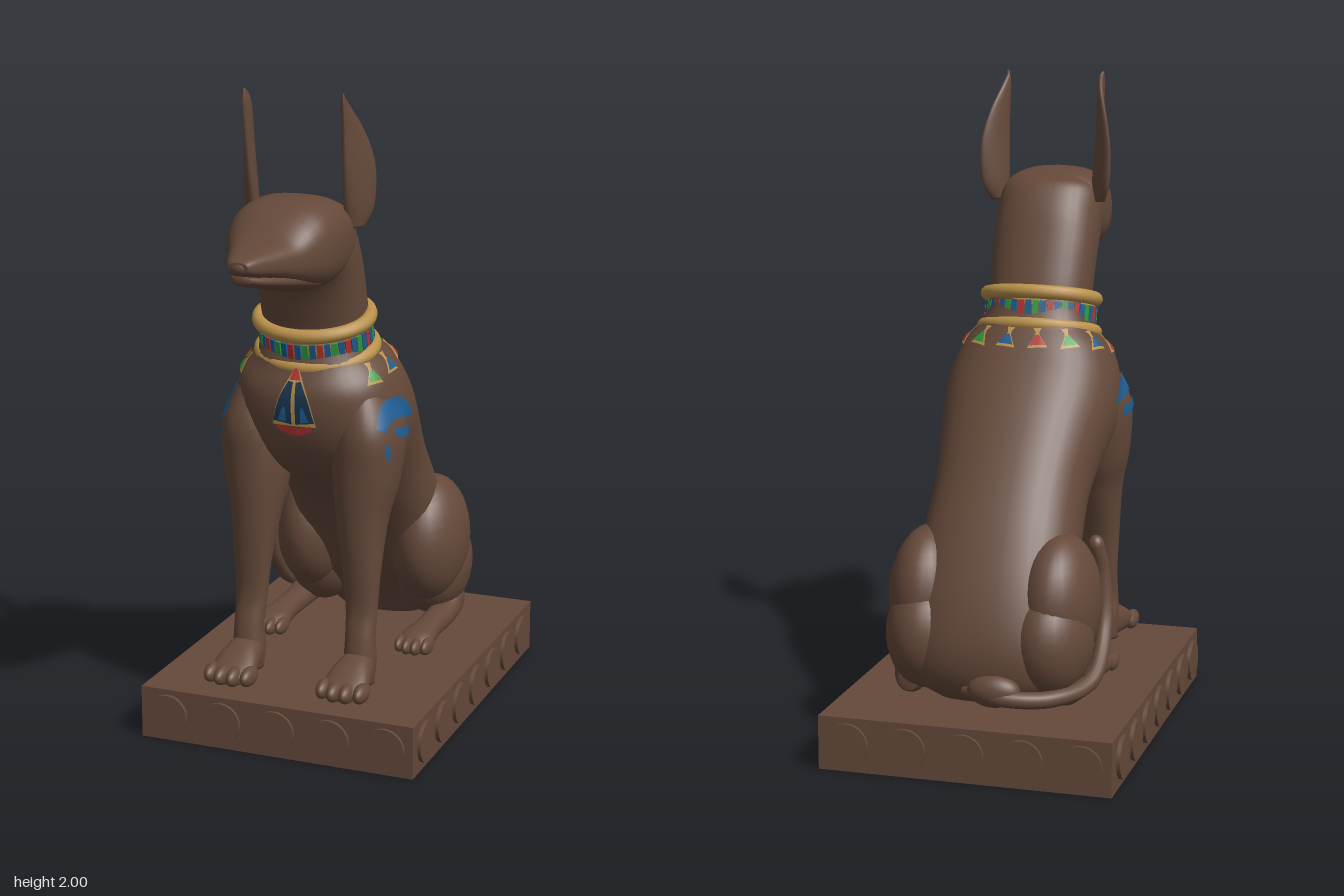
import * as THREE from 'three';

const mat = (name, color) => new THREE.MeshStandardMaterial({ name, color, side: THREE.DoubleSide });
const V = (x, y, z) => new THREE.Vector3(x, y, z);

// Smooth loft. Row: [x, yFront, zFront, yBack, zBack, halfWidth]; n is the roundness of the section.
function loft(rows, n = 2.2, steps = 6, sides = 36) {
  const pos = [], idx = [], last = rows.length - 1, rings = last * steps + 1;
  const centre = (r) => [r[0], (r[1] + r[3]) / 2, (r[2] + r[4]) / 2];
  const pw = (v) => Math.sign(v) * Math.pow(Math.abs(v), 2 / n);
  for (let i = 0; i < rings; i++) {
    const k = Math.min(Math.floor(i / steps), last - 1), t = i / steps - k;
    const p = [k - 1, k, k + 1, k + 2].map((j) => rows[Math.max(0, Math.min(last, j))]);
    const r = p[1].map((b, c) => {
      const a = p[0][c], d = p[2][c], e = p[3][c];
      return b + 0.5 * t * (d - a + t * (2 * a - 5 * b + 4 * d - e + t * (3 * (b - d) + e - a)));
    });
    const [cx, cy, cz] = centre(r), dy = (r[1] - r[3]) / 2, dz = (r[2] - r[4]) / 2;
    for (let j = 0; j < sides; j++) {
      const a = (j / sides) * Math.PI * 2, c = pw(Math.cos(a)), s = pw(Math.sin(a));
      pos.push(cx + r[5] * s, cy + dy * c, cz + dz * c);
    }
  }
  const ends = rings * sides;
  pos.push(...centre(rows[0]), ...centre(rows[last]));
  for (let j = 0; j < sides; j++) {
    const m = (j + 1) % sides, top = (rings - 1) * sides;
    for (let i = 0; i < rings - 1; i++) {
      const a = i * sides + j, b = i * sides + m;
      idx.push(a, b, a + sides, b, b + sides, a + sides);
    }
    idx.push(ends, m, j, ends + 1, top + j, top + m);
  }
  const g = new THREE.BufferGeometry();
  g.setAttribute('position', new THREE.Float32BufferAttribute(pos, 3));
  g.setIndex(idx);
  g.computeVertexNormals();
  return g;
}

// Thin painted ribbon laid on the targets. Path points: [u, v, halfWidth].
function ribbon(targets, path, origin, U, W, out, lift) {
  const curve = new THREE.CatmullRomCurve3(path.map((p) => V(...p)));
  const ray = new THREE.Raycaster(), N = 14, M = 6, pos = [], idx = [];
  let depth = 0;
  for (let i = 0; i <= N; i++) {
    const p = curve.getPoint(i / N), t = curve.getTangent(i / N);
    const len = Math.hypot(t.x, t.y) || 1;
    for (let j = 0; j <= M; j++) {
      const k = ((j / M) * 2 - 1) * p.z;
      const q = origin.clone().addScaledVector(U, p.x - (t.y / len) * k).addScaledVector(W, p.y + (t.x / len) * k);
      ray.set(q.clone().add(out), out.clone().negate());
      const hit = ray.intersectObjects(targets, false)[0];
      if (hit) depth = 1 - hit.distance;
      q.addScaledVector(out, depth + lift);
      pos.push(q.x, q.y, q.z);
      if (i < N && j < M) {
        const a = i * (M + 1) + j, b = a + M + 1;
        idx.push(a, b, a + 1, b, b + 1, a + 1);
      }
    }
  }
  const g = new THREE.BufferGeometry();
  g.setAttribute('position', new THREE.Float32BufferAttribute(pos, 3));
  g.setIndex(idx);
  g.computeVertexNormals();
  return g;
}

export function createModel() {
  const root = new THREE.Group();
  const brown = mat('brown stone', 0x65493a), gold = mat('gold', 0xb8904a);
  const blue = mat('blue paint', 0x1f5c90), navy = mat('dark blue paint', 0x1b3550);
  const green = mat('green enamel', 0x2f9a3c), red = mat('red enamel', 0xb23432);
  const add = (name, geo, m = brown, parent = root) => {
    const o = new THREE.Mesh(geo, m);
    o.name = name;
    parent.add(o);
    return o;
  };
  const ball = (name, x, y, z, rx, ry, rz, parent) => {
    const o = add(name, new THREE.SphereGeometry(1, 28, 20), brown, parent);
    o.position.set(x, y, z);
    o.scale.set(rx, ry, rz);
    return o;
  };

  // Plinth with a row of raised discs on each side
  add('plinth', new THREE.BoxGeometry(0.89, 0.165, 1.175)).position.set(0, 0.0825, -0.1175);
  const disc = new THREE.CylinderGeometry(0.064, 0.064, 0.02, 28);
  for (const s of [-1, 1]) {
    for (let i = 0; i < 7; i++) {
      const d = add('sideDisc', disc);
      d.position.set(s * 0.447, 0.085, 0.37 - i * 0.16);
      d.rotation.z = Math.PI / 2;
    }
    for (let i = 0; i < 5; i++) {
      const d = add('endDisc', disc);
      d.position.set(-0.355 + i * 0.1775, 0.085, -0.1175 + s * 0.588);
      d.rotation.x = Math.PI / 2;
    }
  }

  // Torso and neck, from rump to crown
  const torso = add('torso', loft([
    [0, 0.18, -0.40, 0.19, -0.53, 0.14], [0, 0.25, -0.36, 0.25, -0.59, 0.22],
    [0, 0.36, -0.27, 0.36, -0.605, 0.25], [0, 0.49, -0.19, 0.51, -0.56, 0.25],
    [0, 0.58, -0.12, 0.68, -0.47, 0.24], [0, 0.68, -0.02, 0.84, -0.36, 0.235],
    [0, 0.76, 0.08, 0.99, -0.25, 0.25], [0, 0.84, 0.22, 1.09, -0.17, 0.27],
    [0, 0.95, 0.29, 1.16, -0.11, 0.265], [0, 1.08, 0.31, 1.21, -0.07, 0.235],
    [0, 1.17, 0.28, 1.26, -0.03, 0.18], [0, 1.25, 0.258, 1.32, 0, 0.162],
    [0, 1.33, 0.275, 1.40, 0.03, 0.162], [0, 1.42, 0.31, 1.50, 0.07, 0.165],
    [0, 1.50, 0.37, 1.59, 0.11, 0.165], [0, 1.60, 0.40, 1.66, 0.16, 0.155],
    [0, 1.66, 0.36, 1.68, 0.21, 0.1]], 2.35));

  // Head, lower jaw and nose
  add('head', loft([
    [0, 1.572, 0.708, 1.54, 0.703, 0.03], [0, 1.585, 0.67, 1.525, 0.67, 0.05],
    [0, 1.60, 0.58, 1.50, 0.58, 0.088], [0, 1.615, 0.52, 1.475, 0.51, 0.115],
    [0, 1.66, 0.46, 1.45, 0.45, 0.145], [0, 1.69, 0.40, 1.43, 0.38, 0.163],
    [0, 1.70, 0.32, 1.43, 0.30, 0.168], [0, 1.69, 0.24, 1.47, 0.20, 0.163],
    [0, 1.65, 0.18, 1.53, 0.15, 0.12]], 2.7));
  add('lowerJaw', loft([
    [0, 1.53, 0.68, 1.505, 0.68, 0.025], [0, 1.525, 0.62, 1.485, 0.62, 0.06],
    [0, 1.52, 0.50, 1.455, 0.50, 0.1], [0, 1.52, 0.40, 1.43, 0.40, 0.13]], 2.3));
  ball('nose', 0, 1.555, 0.693, 0.028, 0.02, 0.018);

  // Ear: thin blade, turned outwards and hollowed
  const ear = loft([
    [0.155, 1.60, 0.25, 1.60, 0.20, 0.02], [0.16, 1.68, 0.27, 1.66, 0.175, 0.025],
    [0.165, 1.79, 0.288, 1.78, 0.175, 0.02], [0.165, 1.89, 0.30, 1.88, 0.205, 0.014],
    [0.163, 1.96, 0.308, 1.95, 0.25, 0.01], [0.163, 2.0, 0.304, 1.995, 0.295, 0.004]], 2, 6, 24);
  const ep = ear.attributes.position;
  for (let i = 0; i < ep.count; i++) {
    const d = ep.getZ(i) - 0.24;
    ep.setX(i, ep.getX(i) - 0.4 * Math.min(d, 0.05) + 3 * d * d);
  }
  ear.computeVertexNormals();

  // Legs and ears, built once and mirrored
  const foreleg = loft([
    [0.185, 0.185, 0.28, 0.185, 0.19, 0.045], [0.185, 0.26, 0.28, 0.26, 0.18, 0.05],
    [0.185, 0.33, 0.27, 0.33, 0.19, 0.047], [0.183, 0.42, 0.252, 0.42, 0.175, 0.05],
    [0.18, 0.55, 0.262, 0.55, 0.15, 0.06], [0.175, 0.70, 0.275, 0.70, 0.095, 0.078],
    [0.18, 0.86, 0.285, 0.80, 0.05, 0.1], [0.185, 0.98, 0.285, 0.98, 0, 0.1],
    [0.17, 1.10, 0.24, 1.10, 0, 0.065]], 2.2);
  const forefoot = loft([
    [0.185, 0.215, 0.41, 0.185, 0.41, 0.05], [0.185, 0.25, 0.36, 0.178, 0.36, 0.07],
    [0.185, 0.285, 0.29, 0.178, 0.29, 0.06], [0.185, 0.29, 0.22, 0.178, 0.22, 0.045],
    [0.185, 0.24, 0.18, 0.178, 0.18, 0.03]], 2.4);
  const hindfoot = loft([
    [0.25, 0.215, -0.05, 0.182, -0.05, 0.04], [0.25, 0.245, -0.10, 0.178, -0.10, 0.055],
    [0.25, 0.252, -0.22, 0.178, -0.22, 0.042], [0.25, 0.26, -0.36, 0.178, -0.36, 0.045],
    [0.24, 0.31, -0.46, 0.18, -0.46, 0.05], [0.23, 0.27, -0.51, 0.20, -0.51, 0.03]], 2.3);
  const body = [torso];
  for (const s of [1, -1]) {
    const side = new THREE.Group();
    side.name = s > 0 ? 'leftSide' : 'rightSide';
    side.scale.x = s;
    root.add(side);
    body.push(add('frontLeg', foreleg, brown, side));
    add('frontPaw', forefoot, brown, side);
    add('hindFoot', hindfoot, brown, side);
    add('ear', ear, brown, side);
    ball('thigh', 0.2, 0.47, -0.37, 0.122, 0.21, 0.185, side);
    ball('haunch', 0.19, 0.37, -0.43, 0.125, 0.175, 0.165, side);
    for (let i = 0; i < 4; i++) {
      const k = i - 1.5, mid = Math.abs(k) < 1 ? 0.015 : 0;
      ball('frontToe', 0.185 + k * 0.04, 0.208, 0.375 + mid, 0.022, 0.03, 0.05, side);
      ball('hindToe', 0.25 + k * 0.029, 0.205, -0.08 + mid, 0.017, 0.027, 0.048, side);
    }
  }

  // Tail curled round the right haunch
  const tail = new THREE.CatmullRomCurve3([
    V(0.03, 0.24, -0.57), V(-0.08, 0.235, -0.61), V(-0.22, 0.225, -0.55), V(-0.31, 0.25, -0.42),
    V(-0.315, 0.38, -0.28), V(-0.3, 0.53, -0.25), V(-0.285, 0.625, -0.27)]);
  add('tail', new THREE.TubeGeometry(tail, 50, 0.025, 14));
  ball('tailTip', -0.285, 0.625, -0.27, 0.0245, 0.03, 0.0245);
  ball('tailRoot', -0.06, 0.25, -0.59, 0.08, 0.05, 0.045);

  // Collar: two gold rings around a band of coloured inlays
  const collar = new THREE.Group();
  collar.name = 'collar';
  collar.position.set(0, 1.255, 0.13);
  collar.rotation.x = 0.25;
  root.add(collar);
  const oval = (rx, rz, y) => new THREE.CatmullRomCurve3(Array.from({ length: 24 }, (_, i) => {
    const a = (i / 24) * Math.PI * 2;
    return V(rx * Math.sin(a), y, rz * Math.cos(a));
  }), true);
  add('upperRing', new THREE.TubeGeometry(oval(0.172, 0.145, 0.052), 64, 0.022, 12, true), gold, collar);
  add('lowerRing', new THREE.TubeGeometry(oval(0.176, 0.15, -0.05), 64, 0.022, 12, true), gold, collar);
  add('band', new THREE.CylinderGeometry(1, 1, 0.09, 48), gold, collar).scale.set(0.172, 1, 0.145);
  const inlay = new THREE.BoxGeometry(0.018, 0.05, 0.009);
  for (let i = 0; i < 48; i++) {
    const a = (i / 48) * Math.PI * 2;
    const b = add('inlay', inlay, [blue, green, blue, red][i % 4], collar);
    b.position.set(0.174 * Math.sin(a), 0, 0.147 * Math.cos(a));
    b.rotation.y = Math.atan2(Math.sin(a) / 0.174, Math.cos(a) / 0.147);
  }
  root.updateMatrixWorld(true);

  // Fan pendants hanging below the collar
  const enamels = [green, blue, red, green, blue];
  for (const s of [1, -1]) for (let i = 0; i < 5; i++) {
    const a = s * THREE.MathUtils.degToRad(65 + i * 25.5);
    const at = collar.localToWorld(V(0.215 * Math.sin(a), -0.09, 0.2 * Math.cos(a)));
    const out = V(Math.sin(a), 0.8, Math.cos(a)).normalize();
    const U = V(Math.cos(a), 0, -Math.sin(a)), W = out.clone().cross(U);
    const m = s < 0 && i === 4 ? red : s < 0 && i === 1 ? red : s < 0 && i === 2 ? blue : enamels[i];
    add('pendantMount', ribbon(body, [[0, 0.035, 0.012], [0, 0.015, 0.006], [0, -0.034, 0.032]], at, U, W, out, 0.005), gold);
    add('pendantFan', ribbon(body, [[0, 0.008, 0.005], [0, -0.027, 0.025]], at, U, W, out, 0.009), m);
  }

  // Chest ornament
  const O = V(0, 0, 0), X = V(1, 0, 0), Y = V(0, 1, 0), Z = V(0, 0, 1);
  const chest = (name, path, m, lift) => add(name, ribbon(body, path, O, X, Y, Z, lift), m);
  chest('chestPlate', [[0, 1.17, 0.008], [0, 1.08, 0.05], [0, 1.0, 0.07]], gold, 0.004);
  chest('chestRedEdge', [[-0.055, 0.995, 0.008], [0, 0.982, 0.012], [0.055, 0.995, 0.008]], red, 0.007);
  chest('chestRedTip', [[0, 1.172, 0.006], [0, 1.14, 0.018]], red, 0.007);
  for (const s of [1, -1]) {
    chest('chestWing', [[s * 0.012, 1.135, 0.008], [s * 0.026, 1.08, 0.02], [s * 0.036, 1.01, 0.03]], navy, 0.007);
    chest('chestFeather', [[s * 0.028, 1.06, 0.004], [s * 0.036, 1.015, 0.014]], blue, 0.0095);
    // Painted eye on each shoulder
    const mark = (name, path) => add(name, ribbon(body, path, O, Z, Y, V(s, 0, 0), 0.005), blue);
    mark('shoulderBrow', [[0.25, 0.995, 0.012], [0.2, 1.04, 0.026], [0.14, 1.045, 0.03], [0.08, 1.025, 0.025], [0.035, 1.0, 0.008]]);
    mark('shoulderEye', [[0.2, 0.985, 0.012], [0.15, 0.97, 0.014], [0.08, 0.965, 0.016]]);
    mark('shoulderTear', [[0.238, 0.95, 0.009], [0.234, 0.9, 0.006]]);
  }
  return root;
}
